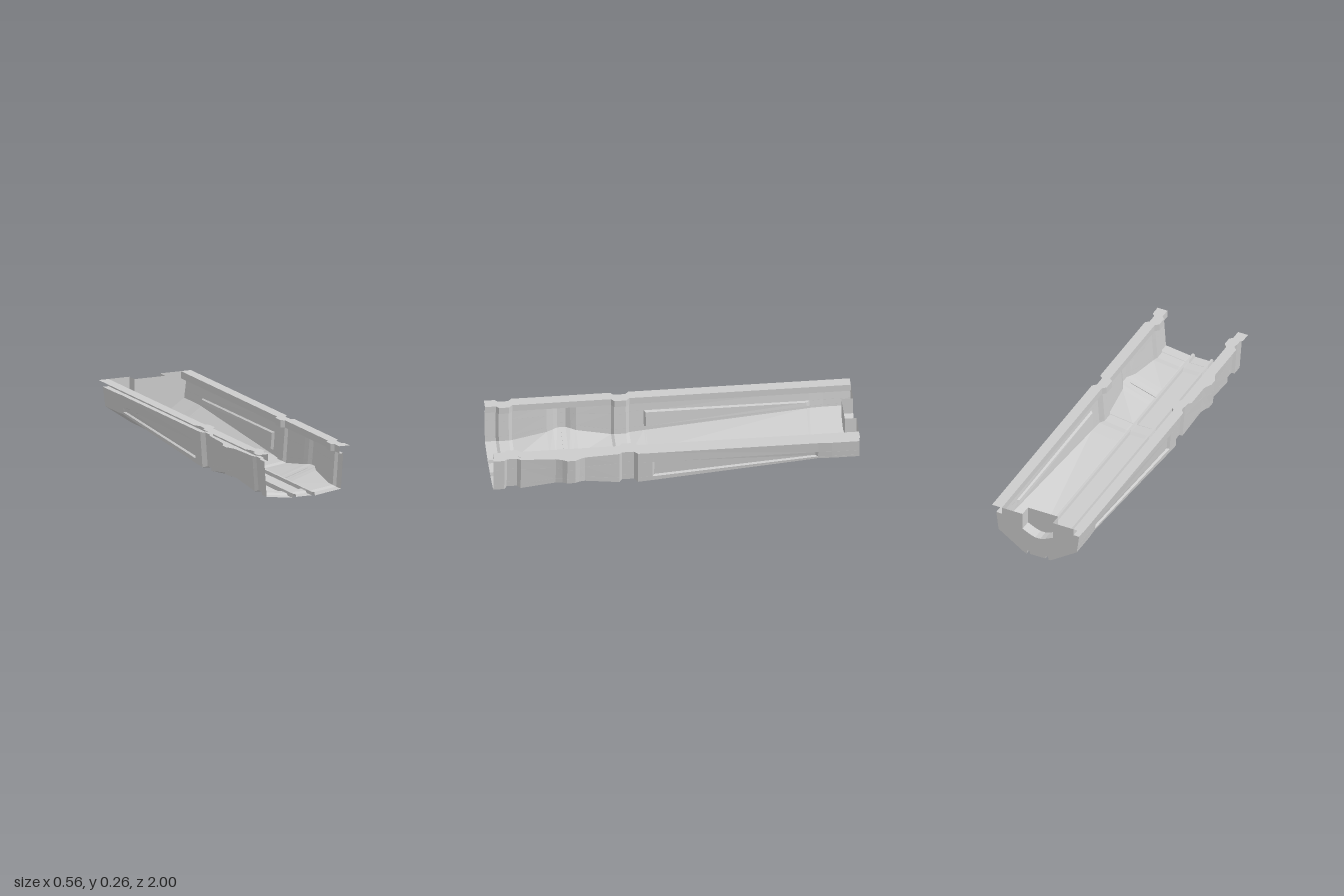
import * as THREE from 'three';

const material = new THREE.MeshStandardMaterial({ color: 0xcccccc, flatShading: true, side: THREE.DoubleSide });
const lerp = THREE.MathUtils.lerp;

// Stations along the trough: z, flange outer x, wall top x, chine y, floor lift, panel depth
const stations = [
  [1, 0.275, 0.238, 0.022, 0, 0],
  [0.94, 0.275, 0.238, 0.022, 0, 0],
  [0.925, 0.258, 0.224, 0.03, 0.01, 0],
  [0.87, 0.258, 0.224, 0.03, 0.01, 0],
  [0.85, 0.278, 0.238, 0.022, 0, 0],
  [0.66, 0.278, 0.25, 0.054, 0, 0],
  [0.625, 0.278, 0.262, 0.06, 0, 0],
  [0.6, 0.278, 0.276, 0.061, 0, 0],
  [0.555, 0.278, 0.276, 0.061, 0, 0],
  [0.53, 0.278, 0.262, 0.06, 0, 0],
  [0.5, 0.278, 0.25, 0.054, 0, 0],
  [0.31, 0.278, 0.238, 0.022, 0, 0],
  [0.295, 0.258, 0.224, 0.03, 0.01, 0],
  [0.23, 0.258, 0.224, 0.03, 0.01, 0],
  [0.21, 0.278, 0.246, 0.022, 0, 0],
  [0.13, 0.278, 0.247, 0.029, 0, 0],
  [0.12, 0.278, 0.247, 0.03, 0, 0.013],
  [-0.76, 0.278, 0.248, 0.108, 0, 0.01],
  [-0.775, 0.278, 0.248, 0.11, 0, 0],
  [-0.85, 0.278, 0.252, 0.11, 0, 0],
  [-1, 0.278, 0.252, 0.11, 0, 0],
];

// Half section from the flange's outer edge down to the centreline
function section([z, flange, top, chine, lift, depth]) {
  const chineX = top - 0.014;
  const wallX = (y) => lerp(chineX, top, (y - chine) / (0.22 - chine));
  const upper = 0.155;
  const lower = z > 0.2 ? chine + 0.03 : lerp(0.122, 0.055, THREE.MathUtils.clamp((z + 0.77) / 0.9, 0, 1));
  const inset = depth ? 0.006 : 0.001;
  return [
    [flange, 0.26], [flange - 0.06, 0.26], [flange - 0.06, 0.22], [top, 0.22],
    [wallX(upper), upper], [wallX(upper) - depth, upper - inset],
    [wallX(lower) - depth, lower + inset], [wallX(lower), lower],
    [chineX, chine], [0.08, 0.003 + lift], [0.067, lift],
    [0.063, 0.022], [0.05, 0.022], [0.046, 0.004 + lift], [0, 0.004 + lift],
  ].map(([x, y]) => new THREE.Vector3(x, y, z));
}

// Faceted skin over rows of points
function loft(rows) {
  const positions = [];
  for (let i = 0; i < rows.length - 1; i++) {
    for (let j = 0; j < rows[i].length - 1; j++) {
      const a = rows[i][j], b = rows[i][j + 1], c = rows[i + 1][j + 1], d = rows[i + 1][j];
      for (const p of [a, c, b, a, d, c]) positions.push(p.x, p.y, p.z);
    }
  }
  const geometry = new THREE.BufferGeometry();
  geometry.setAttribute('position', new THREE.Float32BufferAttribute(positions, 3));
  geometry.computeVertexNormals();
  return geometry;
}

function add(group, name, geometry) {
  const mesh = new THREE.Mesh(geometry, material);
  mesh.name = name;
  group.add(mesh);
  return mesh;
}

export function createModel() {
  const group = new THREE.Group();
  group.name = 'trough';

  // Full width rows, mirrored about the centreline
  const rows = stations.map((s) => {
    const half = section(s);
    const mirrored = half.slice(0, -1).reverse().map((p) => new THREE.Vector3(-p.x, p.y, p.z));
    return [...half, ...mirrored];
  });
  const part = (from, to) => loft(rows.map((r) => r.slice(from, to + 1)));
  add(group, 'leftRail', part(0, 3));
  add(group, 'leftWall', part(3, 8));
  add(group, 'floor', part(8, 20));
  add(group, 'rightWall', part(20, 25));
  add(group, 'rightRail', part(25, 28));

  // Narrow seams across the floor between the bulges
  for (const side of [-1, 1]) {
    const seam = add(group, side > 0 ? 'leftSeam' : 'rightSeam', new THREE.BoxGeometry(0.16, 0.004, 0.008));
    seam.position.set(side * 0.15, 0.027, 0.578);
    seam.rotation.z = side * Math.atan2(0.057, 0.18);
  }

  // End wall with a pocket cut down from its top edge
  const pocket = [[0.092, 0.26], [0.092, 0.16], [0.045, 0.137], [0.015, 0.127],
    [-0.015, 0.127], [-0.045, 0.137], [-0.092, 0.16], [-0.092, 0.26]];
  const toShape = (points) => new THREE.Shape(points.map(([x, y]) => new THREE.Vector2(x, y)));
  const outline = rows[rows.length - 1].slice(1, -1).map((p) => [p.x, p.y]);
  const endWall = add(group, 'endWall', new THREE.ShapeGeometry(toShape([...outline, ...pocket.slice().reverse()])));
  endWall.position.z = -1;

  // Pocket sides and inner face
  add(group, 'pocketSides', loft([-0.935, -1].map((z) => pocket.map(([x, y]) => new THREE.Vector3(x, y, z)))));
  const face = add(group, 'pocketFace', new THREE.ShapeGeometry(toShape(pocket)));
  face.position.z = -0.935;

  return group;
}
